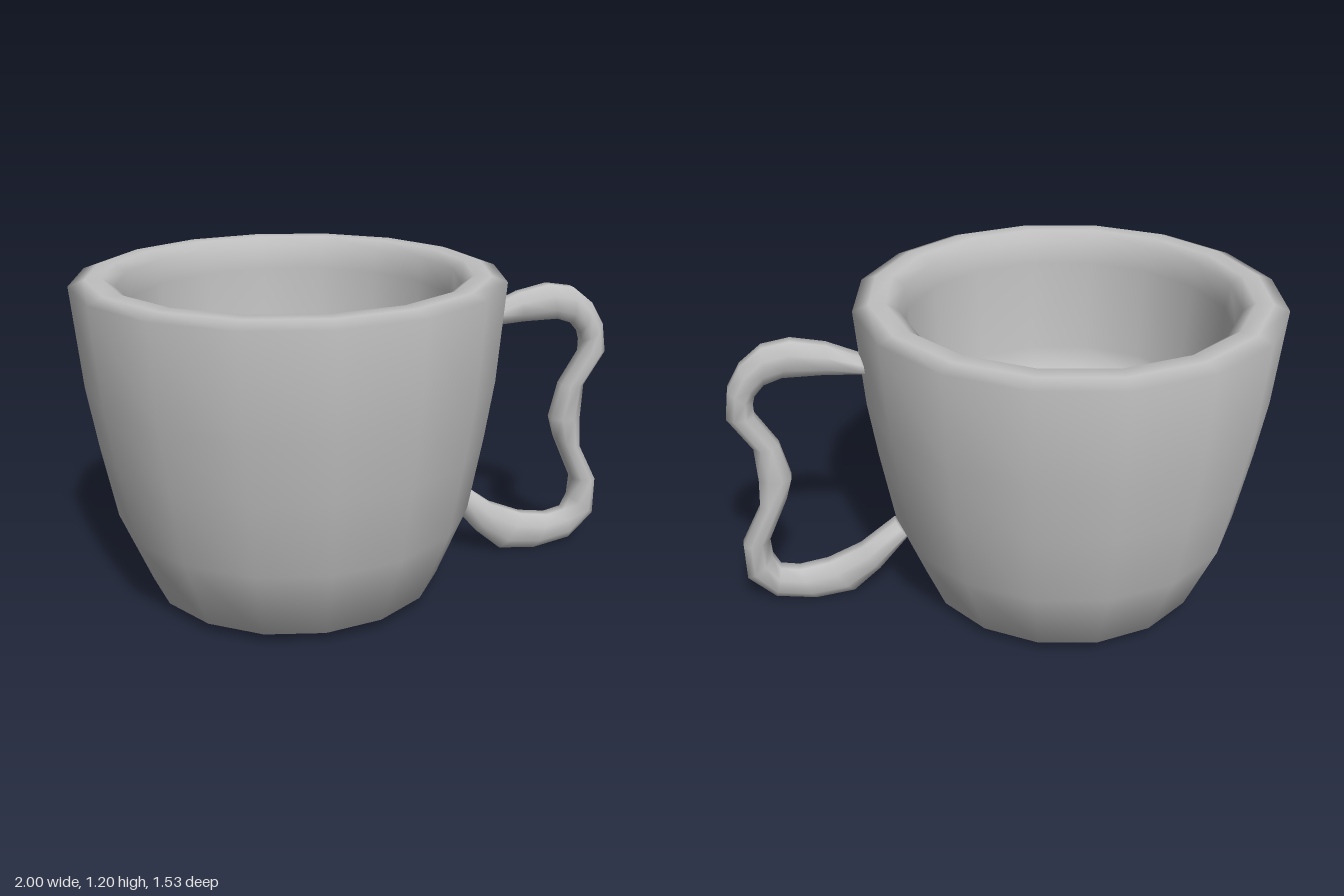
import * as THREE from 'three';

const CUP_X = -0.235;

// Sweeps an octagonal section along [outerX, outerY, innerX, innerY] stations
function sweep(stations, halfWidth, sides = 8) {
  const pos = [], index = [];
  const k = 1 / Math.cos(Math.PI / sides);
  stations.forEach(([ox, oy, ix, iy]) => {
    const cx = (ox + ix) / 2, cy = (oy + iy) / 2;
    for (let j = 0; j < sides; j++) {
      const a = ((j + 0.5) / sides) * Math.PI * 2;
      const n = Math.cos(a) * k, b = Math.sin(a) * k;
      pos.push(cx + (ox - cx) * n, cy + (oy - cy) * n, halfWidth * b);
    }
  });
  const last = (stations.length - 1) * sides;
  for (let s = 0; s < last; s += sides) {
    for (let j = 0; j < sides; j++) {
      const a = s + j, b = s + ((j + 1) % sides);
      index.push(a, b, b + sides, a, b + sides, a + sides);
    }
  }
  // end caps
  for (let j = 1; j < sides - 1; j++) {
    index.push(0, j + 1, j, last, last + j, last + j + 1);
  }
  const geo = new THREE.BufferGeometry();
  geo.setAttribute('position', new THREE.Float32BufferAttribute(pos, 3));
  geo.setIndex(index);
  geo.computeVertexNormals();
  return geo;
}

export function createModel() {
  const group = new THREE.Group();
  group.name = 'mug';
  const grey = new THREE.MeshStandardMaterial({ color: 0xc0c0c0 });
  grey.name = 'grey ceramic';

  // Cup: underside, outer wall, rounded rim, inner wall and floor
  const profile = [
    [0, 0.025], [0.43, 0.025], [0.545, 0.045], [0.655, 0.32], [0.705, 0.6],
    [0.738, 0.82], [0.766, 1.18], [0.71, 1.2], [0.65, 1.2], [0.607, 1.17],
    [0.595, 1.08], [0.57, 0.72], [0.53, 0.64], [0, 0.6],
  ].map(([r, y]) => new THREE.Vector2(r, y));
  const cup = new THREE.Mesh(new THREE.LatheGeometry(profile, 16), grey);
  cup.name = 'cup';
  cup.position.x = CUP_X;
  group.add(cup);

  // Handle: wavy loop, pinched at the middle, thick at the bottom
  const handle = new THREE.Mesh(sweep([
    [0.49, 1.0, 0.49, 0.945], [0.52, 1.02, 0.52, 0.95], [0.63, 1.07, 0.65, 0.96],
    [0.75, 1.096, 0.79, 0.962], [0.85, 1.08, 0.855, 0.94], [0.93, 1.016, 0.89, 0.9],
    [0.98, 0.93, 0.9, 0.865], [0.997, 0.82, 0.9, 0.82], [0.917, 0.69, 0.826, 0.695],
    [0.912, 0.556, 0.794, 0.556], [0.92, 0.433, 0.82, 0.47], [0.997, 0.283, 0.9, 0.294],
    [0.997, 0.134, 0.895, 0.214], [0.9, 0.035, 0.87, 0.16], [0.75, 0.005, 0.8, 0.144],
    [0.6, 0.02, 0.69, 0.16], [0.495, 0.11, 0.56, 0.214], [0.375, 0.25, 0.425, 0.315],
  ], 0.05), grey);
  handle.name = 'handle';
  group.add(handle);

  return group;
}
